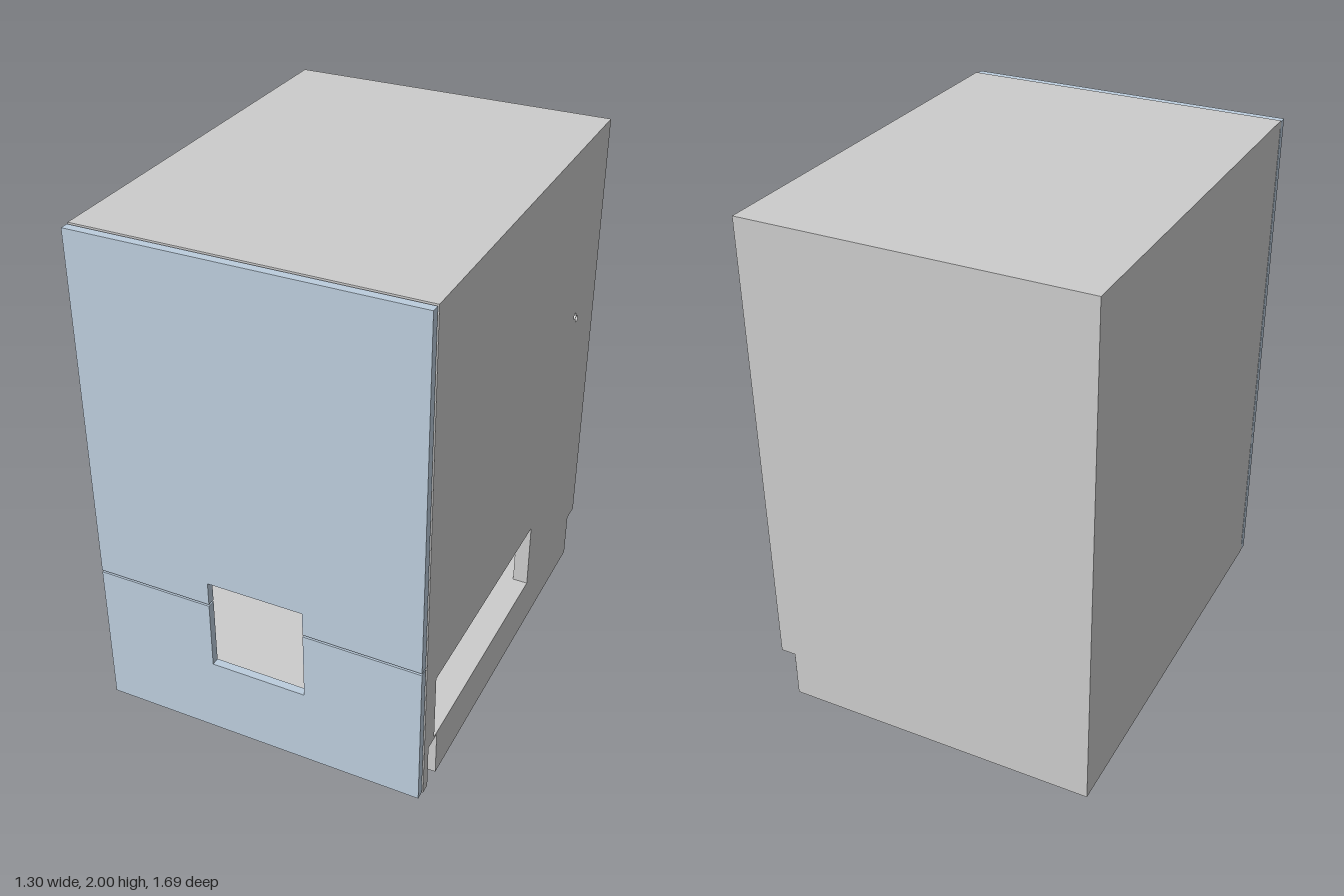
import * as THREE from 'three';

const grey = new THREE.MeshStandardMaterial({ color: 0xcccccc });
const blue = new THREE.MeshStandardMaterial({ color: 0xbccddd });

// Half sizes and main levels of the cabinet
const HX = 0.65, BACK = -0.845, BODY_FRONT = 0.808, FRONT = 0.845;
const TOP = 2, BASE_H = 0.19, FLOOR = 0.2, SPLIT = 0.6;
const WALL_R = 0.06, WALL_L = 0.04;

function add(group, name, geometry, material = grey) {
  const mesh = new THREE.Mesh(geometry, material);
  mesh.name = name;
  group.add(mesh);
  return mesh;
}

// Box given by its lower and upper limits on each axis
function block(group, name, [x0, x1], [y0, y1], [z0, z1], material) {
  const mesh = add(group, name, new THREE.BoxGeometry(x1 - x0, y1 - y0, z1 - z0), material);
  mesh.position.set((x0 + x1) / 2, (y0 + y1) / 2, (z0 + z1) / 2);
  return mesh;
}

const poly = (points, Type = THREE.Shape) => new Type(points.map(([a, b]) => new THREE.Vector2(a, b)));
const rect = (a0, a1, b0, b1, Type) => poly([[a0, b0], [a1, b0], [a1, b1], [a0, b1]], Type);
const extrude = (shape, depth) =>
  new THREE.ExtrudeGeometry(shape, { depth, bevelEnabled: false, curveSegments: 8 });

export function createModel() {
  const model = new THREE.Group();
  model.name = 'cabinet';

  // Left wall, back, roof and floor of the hollow body
  block(model, 'leftHandWall', [-HX, -HX + WALL_L], [0, TOP], [BACK, BODY_FRONT]);
  block(model, 'backWall', [-HX + WALL_L, HX - WALL_R], [0, TOP], [BACK, BACK + 0.03]);
  block(model, 'roof', [-HX + WALL_L, HX - WALL_R], [TOP - 0.04, TOP], [BACK + 0.03, BODY_FRONT]);
  block(model, 'floor', [-HX + WALL_L, HX - WALL_R], [BASE_H, FLOOR], [BACK + 0.03, 0.78]);

  // Service wall: notched at the feet, with a long window and two cable holes.
  // Drawn with -z across and y up, then turned to face +x.
  const side = poly([
    [-BODY_FRONT, 0], [-0.77, 0], [-0.77, BASE_H], [-0.695, BASE_H], [-0.695, 0],
    [0.77, 0], [0.77, BASE_H], [-BACK, BASE_H], [-BACK, TOP], [-BODY_FRONT, TOP],
  ]);
  side.holes.push(rect(-0.72, 0.25, 0.2, 0.48, THREE.Path));
  for (const [a, y] of [[0.602, 1.275], [0.625, 1.253]]) {
    side.holes.push(new THREE.Path().absarc(a, y, 0.014, 0, Math.PI * 2, true));
  }
  const wall = add(model, 'serviceWall', extrude(side, WALL_R));
  wall.rotation.y = Math.PI / 2;
  wall.position.x = HX - WALL_R;

  // Plinth frame with four pockets open to the ground
  const plinth = rect(-HX + WALL_L, HX - WALL_R, -0.77, -BACK - 0.03);
  for (const [x0, x1] of [[-0.57, -0.045], [0.045, 0.57]]) {
    plinth.holes.push(rect(x0, x1, -0.7, 0.42, THREE.Path));
    plinth.holes.push(rect(x0, x1, 0.5, 0.78, THREE.Path));
  }
  add(model, 'plinthFrame', extrude(plinth, BASE_H)).rotation.x = -Math.PI / 2;
  block(model, 'kickPanel', [-HX + WALL_L, HX - WALL_R], [0.01, BASE_H], [0.77, 0.78]);

  // Front doors, meeting at a thin gap and cut around the square hatch
  const gap = 0.004, hatch = 0.19, doorZ = FRONT - 0.032;
  const x0 = -HX, x1 = HX - 0.003;
  const upper = poly([
    [x0, SPLIT + gap], [-hatch, SPLIT + gap], [-hatch, 0.7], [hatch, 0.7],
    [hatch, SPLIT + gap], [x1, SPLIT + gap], [x1, TOP - 0.004], [x0, TOP - 0.004],
  ]);
  const lower = poly([
    [x0, 0.004], [x1, 0.004], [x1, SPLIT - gap], [hatch, SPLIT - gap],
    [hatch, 0.32], [-hatch, 0.32], [-hatch, SPLIT - gap], [x0, SPLIT - gap],
  ]);
  for (const [name, shape] of [['upperDoor', upper], ['lowerDoor', lower]]) {
    add(model, name, extrude(shape, FRONT - doorZ), blue).position.z = doorZ;
  }

  // Hinge tabs between the doors and the body
  for (const y of [0.02, 0.58, 0.62, 1.98]) {
    block(model, 'hinge', [-HX, -HX + 0.025], [y - 0.012, y + 0.012], [0.804, 0.815]);
  }

  // Cross rails and a roller above the hatch, inside the body
  for (const z of [0.1, 0.5]) {
    block(model, 'crossRail', [-HX + WALL_L, HX - WALL_R], [0.74, 0.78], [z - 0.025, z + 0.025]);
  }
  const roller = add(model, 'roller', new THREE.CylinderGeometry(0.03, 0.03, 0.4, 24));
  roller.rotation.z = Math.PI / 2;
  roller.position.set(0, 0.76, 0.3);

  return model;
}
